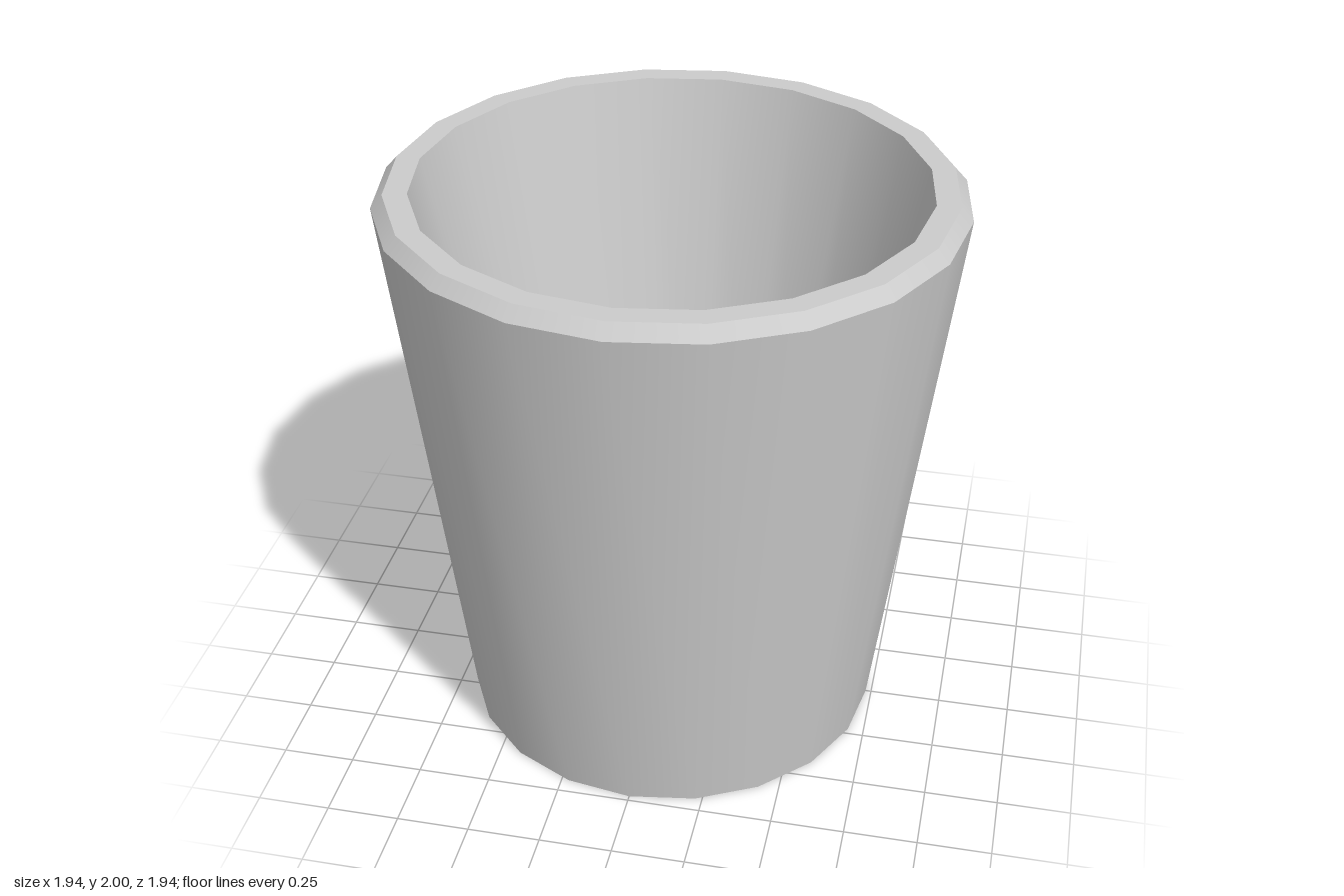
import * as THREE from 'three';

const SIDES = 20;

export function createModel() {
  const cup = new THREE.Group();
  cup.name = 'cup';
  const material = new THREE.MeshStandardMaterial({ color: 0xcccccc });

  // Each band is its own lathe, so edges between bands stay sharp.
  const band = (name, points) => {
    const profile = points.map(([r, y]) => new THREE.Vector2(r, y));
    const mesh = new THREE.Mesh(new THREE.LatheGeometry(profile, SIDES), material);
    mesh.name = name;
    cup.add(mesh);
  };

  band('base', [[0, 0], [0.73, 0]]);
  band('outerWall', [[0.73, 0], [0.97, 1.955]]);
  band('rimBevel', [[0.97, 1.955], [0.93, 2]]);
  band('rimTop', [[0.93, 2], [0.85, 2]]);

  // Tapered inner wall, rounded into a small flat floor
  const floorY = 0.25, floorR = 0.28, fillet = 0.255, steps = 8;
  const wallTilt = 0.2;
  const inner = [[0.85, 2]];
  for (let i = 0; i <= steps; i++) {
    const a = -wallTilt - (Math.PI / 2 - wallTilt) * (i / steps);
    inner.push([floorR + fillet * Math.cos(a), floorY + fillet * (1 + Math.sin(a))]);
  }
  inner.push([0, floorY]);
  band('innerWall', inner);

  return cup;
}
